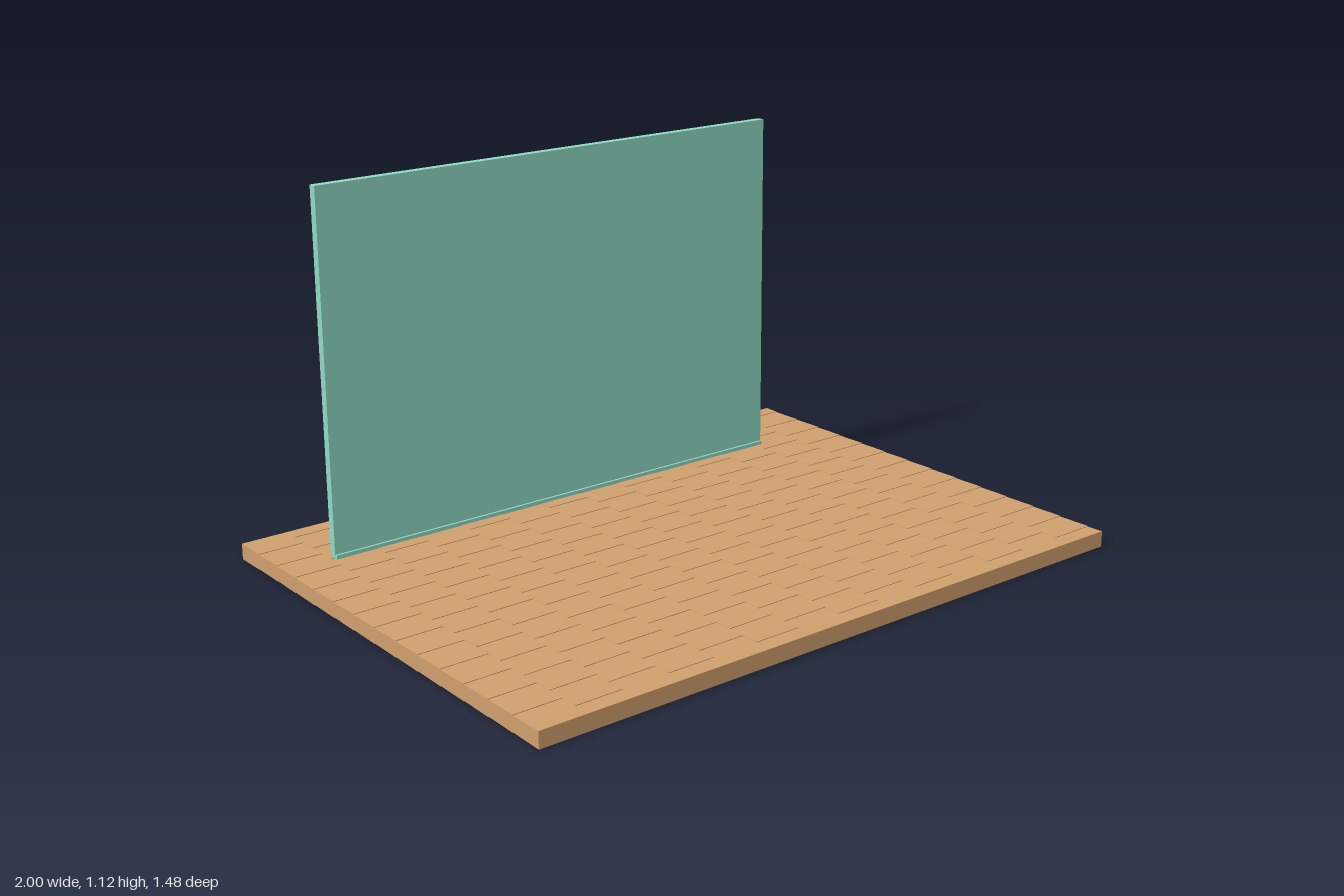
import * as THREE from 'three';

const floorMat = new THREE.MeshStandardMaterial({ color: 0xcf9f6e });
const wallMat = new THREE.MeshStandardMaterial({ color: 0x8fd9c4 });

const FLOOR_X = 1, FLOOR_Z = 0.74, FLOOR_Y = 0.048;
const COLUMNS = 14, ROW = 0.106, RELIEF = 0.002;

function box(name, x0, x1, y0, y1, z0, z1, mat) {
  const mesh = new THREE.Mesh(new THREE.BoxGeometry(x1 - x0, y1 - y0, z1 - z0), mat);
  mesh.position.set((x0 + x1) / 2, (y0 + y1) / 2, (z0 + z1) / 2);
  mesh.name = name;
  return mesh;
}

// One strip of floor: very shallow overlapping tiles on both faces
function tileStrip(width, shift) {
  const steps = [[-FLOOR_Z, 0]];
  for (let z = -FLOOR_Z + shift; z < FLOOR_Z - 0.01; z += ROW) {
    if (z > -FLOOR_Z + 0.01) steps.push([z, RELIEF], [z, 0]);
  }
  steps.push([FLOOR_Z, 0]);
  const top = steps.map(([z, d]) => new THREE.Vector2(z, FLOOR_Y - d));
  const bottom = steps.map(([z, d]) => new THREE.Vector2(z, d)).reverse();
  const geo = new THREE.ExtrudeGeometry(new THREE.Shape([...top, ...bottom]), { depth: width, bevelEnabled: false });
  return geo.rotateY(Math.PI / 2);
}

export function createModel() {
  const model = new THREE.Group();

  // Floor slab, alternate strips staggered by half a tile
  const floor = new THREE.Group();
  floor.name = 'floor';
  const width = (2 * FLOOR_X) / COLUMNS;
  for (let i = 0; i < COLUMNS; i++) {
    const strip = new THREE.Mesh(tileStrip(width, (i % 2) * ROW / 2), floorMat);
    strip.position.x = -FLOOR_X + i * width;
    strip.name = 'floorStrip';
    floor.add(strip);
  }
  model.add(floor);

  // Upright panel, leaning a hair sideways
  const wall = box('wall', -0.848, 0.736, 0.044, 1.118, -0.5, -0.475, wallMat);
  wall.rotation.z = 0.004;
  model.add(wall);

  // Thin lip along the foot of the panel
  model.add(box('wallFoot', -0.845, 0.738, 0.044, 0.058, -0.499, -0.468, wallMat));
  return model;
}
